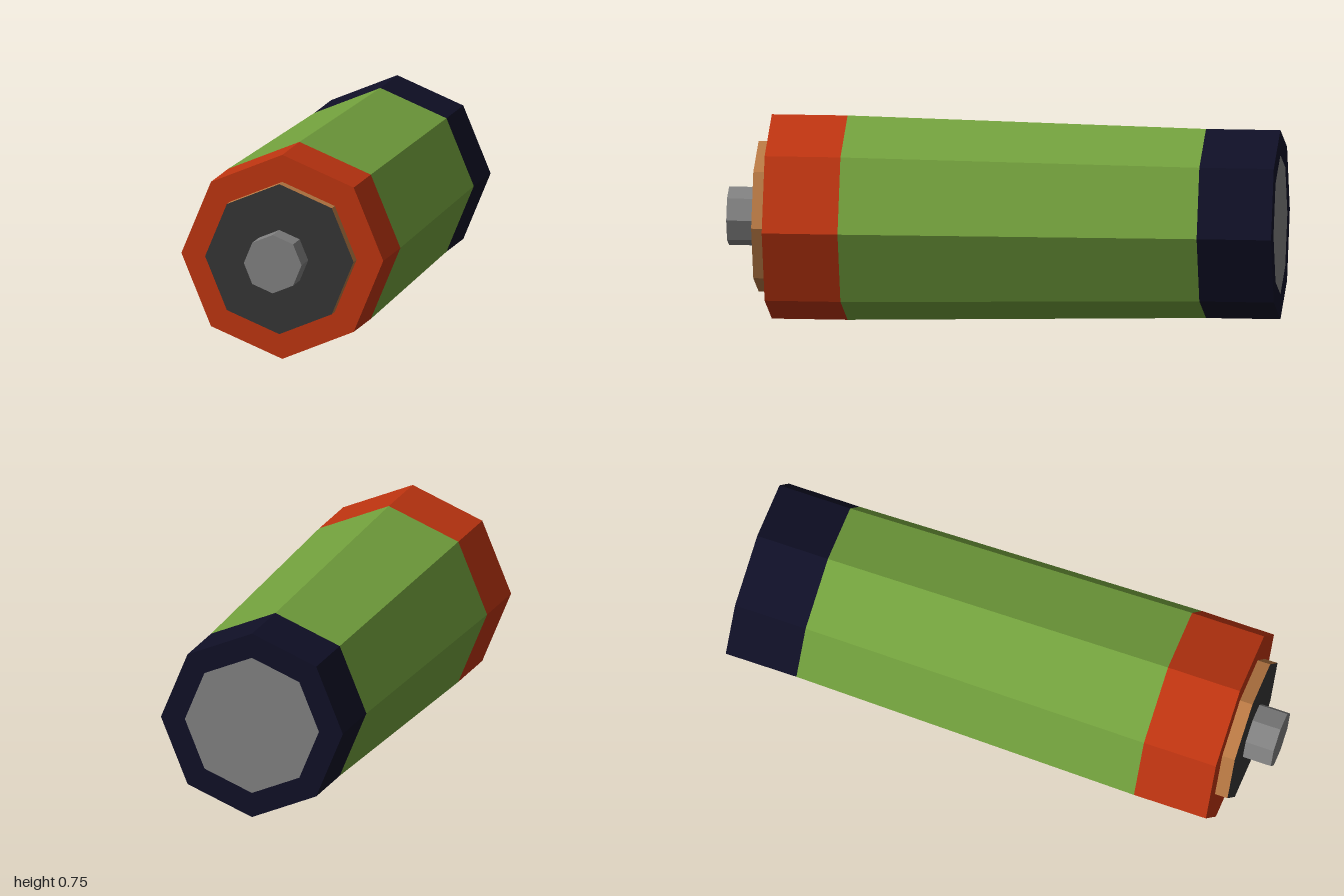
import * as THREE from 'three';

const SIDES = 8;
const CENTRE_Y = 0.374;

export function createModel() {
  const model = new THREE.Group();
  model.name = 'batteryCell';

  const material = (name, color) => {
    const m = new THREE.MeshStandardMaterial({ color });
    m.name = name;
    return m;
  };
  const red = material('red', 0xbd3410);
  const green = material('green', 0x73a13d);
  const navy = material('navy', 0x0f0f26);
  const tan = material('tan', 0xb87843);
  const charcoal = material('charcoal', 0x353535);
  const grey = material('grey', 0x808080);

  const add = (name, geometry, mat) => {
    const mesh = new THREE.Mesh(geometry, mat);
    mesh.name = name;
    mesh.position.y = CENTRE_Y;
    model.add(mesh);
  };

  // Open eight-sided wall along z, with flat facets
  const wall = (name, zBack, zFront, rBack, rFront, mat) => {
    const g = new THREE.CylinderGeometry(rFront, rBack, zFront - zBack, SIDES, 1, true)
      .rotateX(Math.PI / 2)
      .translate(0, 0, (zBack + zFront) / 2)
      .toNonIndexed();
    g.computeVertexNormals();
    add(name, g, mat);
  };

  // Flat end face, solid or ring, facing forward or backward
  const face = (name, z, rInner, rOuter, mat, backward = false) => {
    const g = rInner > 0
      ? new THREE.RingGeometry(rInner, rOuter, SIDES, 1)
      : new THREE.CircleGeometry(rOuter, SIDES);
    if (backward) g.rotateY(Math.PI);
    add(name, g.translate(0, 0, z), mat);
  };

  // Casing: dark rear band, tapered body, red front band
  wall('rearBand', -1, -0.73, 0.346, 0.346, navy);
  wall('body', -0.73, 0.57, 0.346, 0.374, green);
  wall('frontBand', 0.57, 0.845, 0.374, 0.374, red);

  // Rear end: rim around the contact plate
  face('rearRim', -1, 0.255, 0.346, navy, true);
  face('rearContact', -1, 0, 0.255, grey, true);

  // Front end: rim, raised collar, insulator and terminal
  face('frontRim', 0.845, 0.275, 0.374, red);
  wall('collar', 0.845, 0.893, 0.275, 0.275, tan);
  face('insulator', 0.893, 0.107, 0.275, charcoal);
  wall('terminalWall', 0.893, 1, 0.107, 0.107, grey);
  face('terminalTip', 1, 0, 0.107, grey);

  return model;
}
